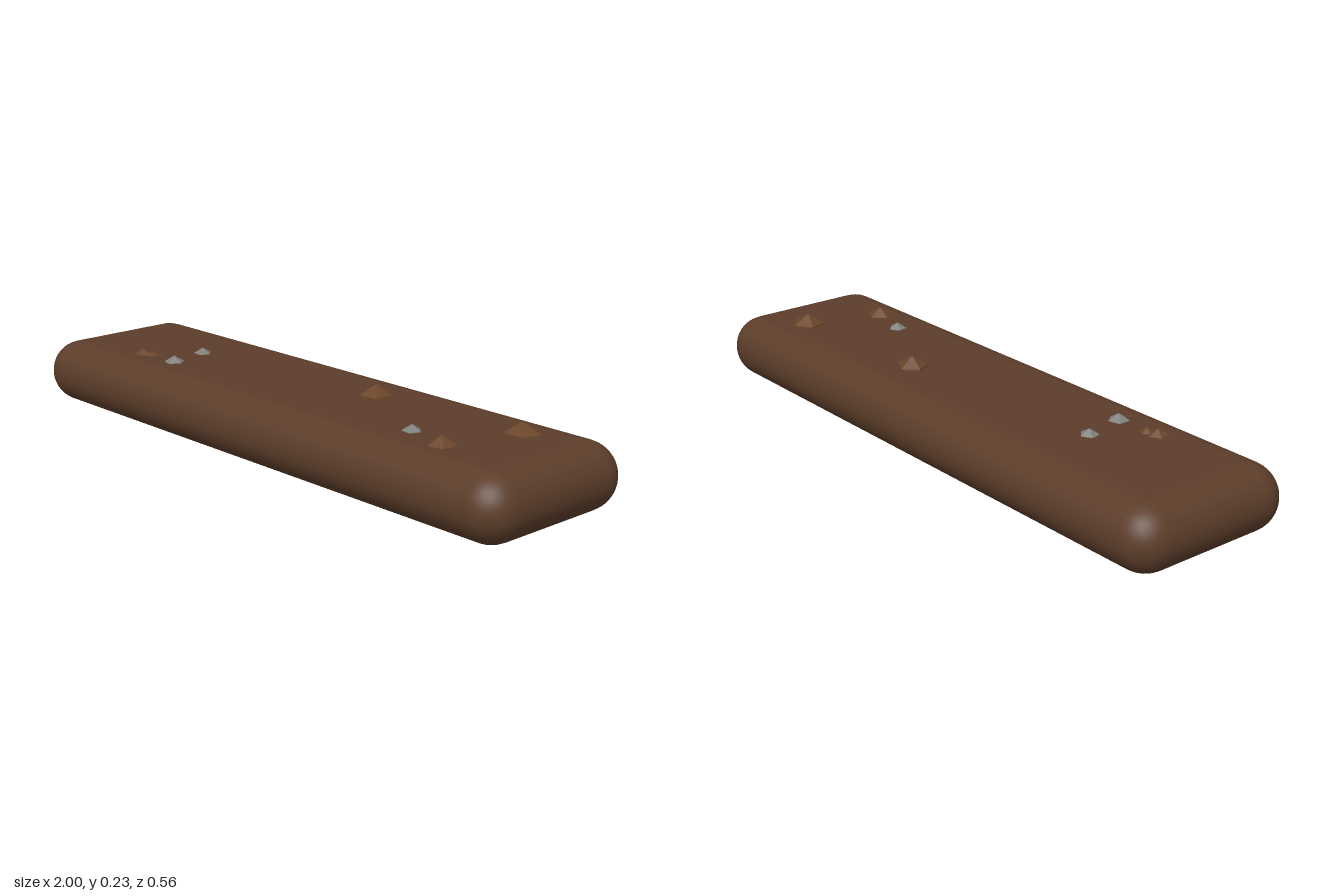
import * as THREE from 'three';
import { RoundedBoxGeometry } from 'three/addons/geometries/RoundedBoxGeometry.js';

export function createModel() {
  const model = new THREE.Group();
  model.name = 'dirtPlatform';

  const soil = new THREE.MeshStandardMaterial({ color: 0x5c3d2a });
  const clod = new THREE.MeshStandardMaterial({ color: 0x6a4429, flatShading: true });
  const stone = new THREE.MeshStandardMaterial({ color: 0x80807c, flatShading: true });

  // Slab with fully rounded edges
  const slab = new THREE.Mesh(new RoundedBoxGeometry(2, 0.2, 0.56, 5, 0.0995), soil);
  slab.name = 'slab';
  slab.position.y = 0.1;
  model.add(slab);

  // Icosahedron standing on a corner, so its five-sided cap points up
  const lump = new THREE.IcosahedronGeometry(1, 0);
  lump.rotateZ(-Math.atan(2 / (1 + Math.sqrt(5))));

  // Half-buried lumps: name, material, x, z, peak height, radius, turn, stretch in x
  const lumps = [
    ['clod', clod, 0.225, -0.075, 0.235, 0.055, 0.5, 1],
    ['clod', clod, 0.757, -0.104, 0.234, 0.055, 0.3, 1.1],
    ['clod', clod, 0.68, 0.131, 0.228, 0.048, 0.55, 1],
    ['clod', clod, -0.626, 0.134, 0.219, 0.036, 0.2, 1],
    ['clod', clod, -0.592, 0.122, 0.214, 0.027, 0.6, 1],
    ['pebble', stone, -0.505, -0.012, 0.218, 0.032, 0.2, 1],
    ['pebble', stone, -0.48, 0.123, 0.22, 0.036, 0, 1],
    ['pebble', stone, 0.537, 0.098, 0.219, 0.032, 0.2, 1],
  ];
  lumps.forEach(([name, material, x, z, peak, r, turn, stretch], i) => {
    const mesh = new THREE.Mesh(lump, material);
    mesh.name = name + (i + 1);
    mesh.position.set(x, peak - r, z);
    mesh.scale.set(r * stretch, r, r);
    mesh.rotation.y = turn;
    model.add(mesh);
  });

  return model;
}
